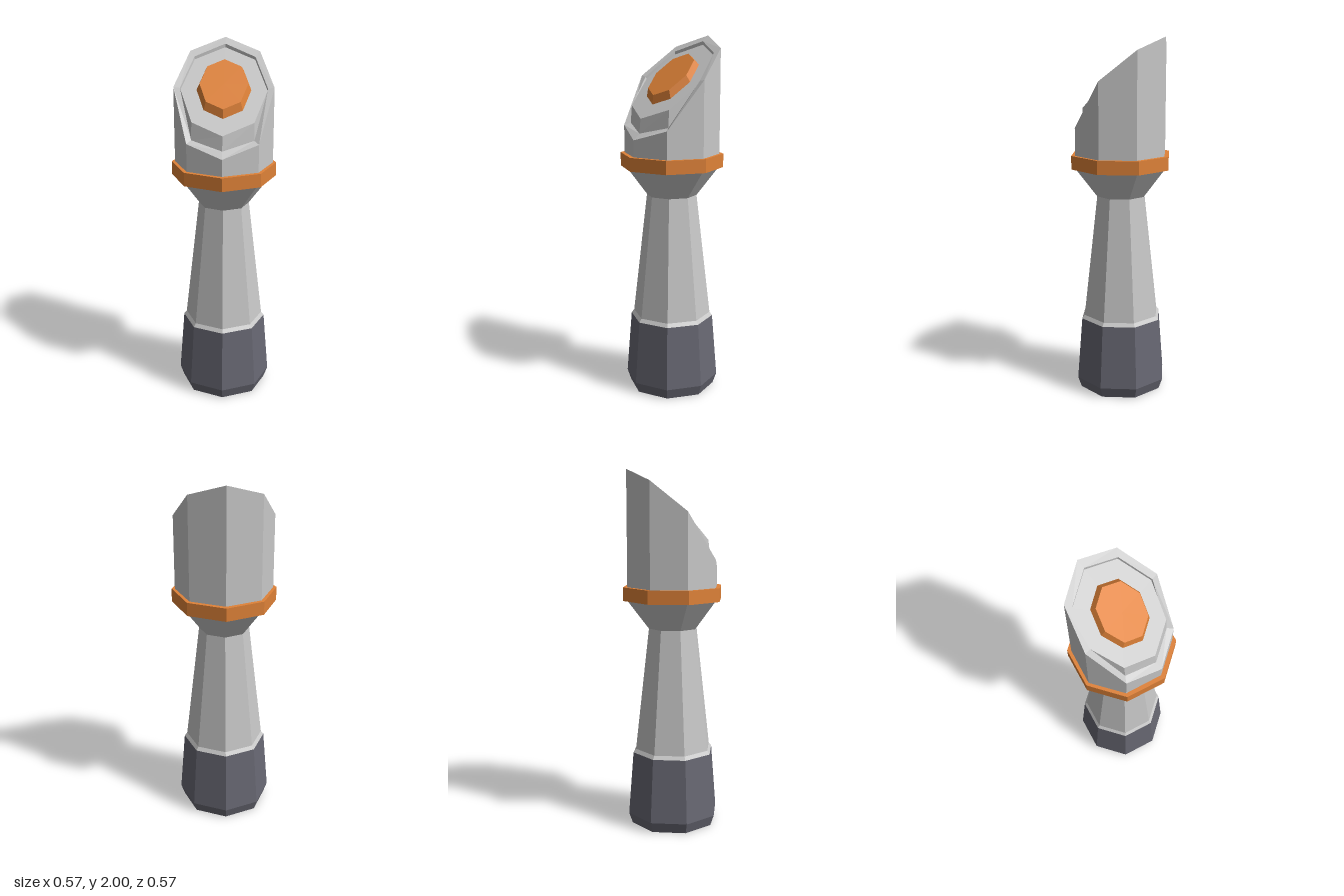
import * as THREE from 'three';

const SIDES = 8;

// Eight-sided ring with a corner facing the front.
// y is a number, a function of z, or heights listed from front corner to back corner.
function ring(r, y, { rz = r, dz = 0 } = {}) {
  return Array.from({ length: SIDES }, (_, i) => {
    const a = (i / SIDES) * Math.PI * 2;
    const z = Math.cos(a) * rz + dz;
    const h = typeof y === 'function' ? y(z) : Array.isArray(y) ? y[Math.min(i, SIDES - i)] : y;
    return new THREE.Vector3(Math.sin(a) * r, h, z);
  });
}

// Faceted skin through a stack of rings, with optional end caps.
function loft(name, material, rings, { bottom = true, top = true } = {}) {
  const pos = [];
  const tri = (...pts) => pts.forEach((p) => pos.push(p.x, p.y, p.z));
  const centre = (r) => r.reduce((s, p) => s.add(p), new THREE.Vector3()).divideScalar(SIDES);
  const first = rings[0];
  const last = rings[rings.length - 1];
  for (let i = 0; i < SIDES; i++) {
    const j = (i + 1) % SIDES;
    for (let k = 0; k < rings.length - 1; k++) {
      const lo = rings[k];
      const hi = rings[k + 1];
      tri(lo[i], lo[j], hi[j]);
      tri(lo[i], hi[j], hi[i]);
    }
    if (bottom) tri(centre(first), first[j], first[i]);
    if (top) tri(centre(last), last[i], last[j]);
  }
  const geo = new THREE.BufferGeometry();
  geo.setAttribute('position', new THREE.Float32BufferAttribute(pos, 3));
  geo.computeVertexNormals();
  const mesh = new THREE.Mesh(geo, material);
  mesh.name = name;
  return mesh;
}

export function createModel() {
  const mat = (name, color) => {
    const m = new THREE.MeshStandardMaterial({ color, flatShading: true });
    m.name = name;
    return m;
  };
  const grey = mat('light grey metal', 0xc8c8c8);
  const orange = mat('orange', 0xdf8238);
  const dark = mat('dark grip', 0x686873);

  const model = new THREE.Group();
  model.name = 'handheldDevice';

  // Dark grip at the foot
  model.add(loft('grip', dark, [ring(0.243, 0), ring(0.264, 0.06), ring(0.235, 0.42)], { top: false }));

  // Tapered handle flaring out into the neck
  model.add(loft('handle', grey,
    [ring(0.235, 0.42), ring(0.22, 0.44), ring(0.14, 1.13), ring(0.262, 1.29)],
    { bottom: false }));

  // Collar
  model.add(loft('collar', orange, [ring(0.287, 1.29), ring(0.287, 1.365)]));

  // Slanted head: outer wall, rim, then a face sunk at the back and raised at the front
  const facePlane = (z) => 1.755 - 0.87 * z;
  model.add(loft('head', grey, [
    ring(0.269, 1.34, { rz: 0.262 }),
    ring(0.269, [1.457, 1.517, 1.777, 1.936, 2], { rz: 0.262 }),
    ring(0.234, [1.49, 1.53, 1.772, 1.91, 1.969], { rz: 0.223 }),
    ring(0.232, facePlane, { rz: 0.219, dz: -0.005 }),
  ], { bottom: false }));

  // Button standing on the slanted face
  model.add(loft('button', orange, [
    ring(0.147, (z) => facePlane(z) - 0.003, { rz: 0.141, dz: -0.008 }),
    ring(0.129, (z) => 1.801 - 0.87 * z, { rz: 0.123, dz: 0.005 }),
  ]));

  return model;
}
